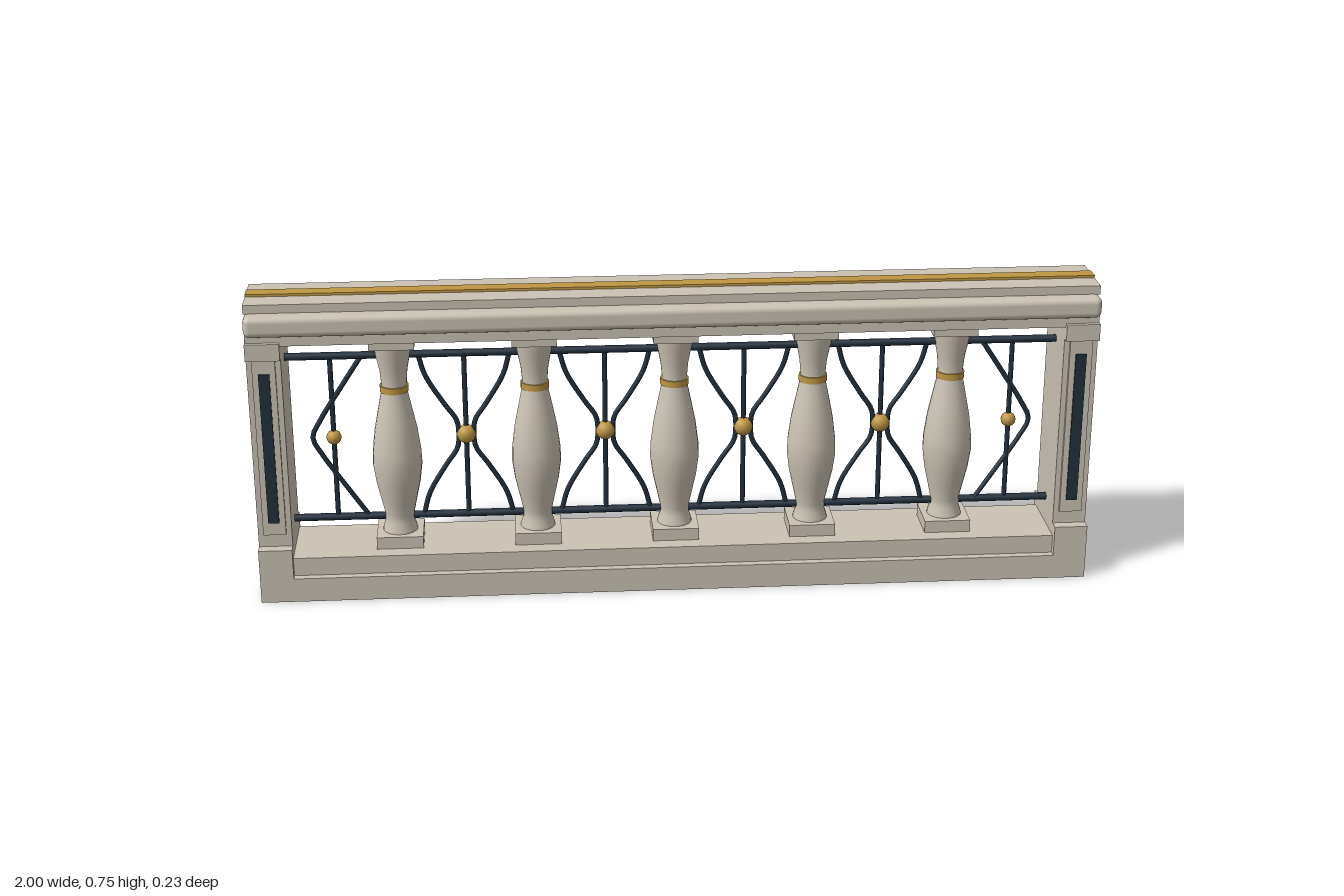
import * as THREE from 'three';
import { RoundedBoxGeometry } from 'three/addons/geometries/RoundedBoxGeometry.js';

export function createModel() {
  const root = new THREE.Group();
  root.name = 'balustrade';
  const stone = new THREE.MeshStandardMaterial({ color: 0xcbc3b5 });
  const iron = new THREE.MeshStandardMaterial({ color: 0x22303d });
  const gold = new THREE.MeshStandardMaterial({ color: 0xbf9743 });
  stone.name = 'stone';
  iron.name = 'darkIron';
  gold.name = 'gold';

  const add = (parent, name, geometry, material, x = 0, y = 0, z = 0) => {
    const mesh = new THREE.Mesh(geometry, material);
    mesh.name = name;
    mesh.position.set(x, y, z);
    parent.add(mesh);
    return mesh;
  };
  // Box given by its centre x, bottom and top heights, width and depth
  const block = (parent, name, material, x, y0, y1, w, d, z = 0) =>
    add(parent, name, new THREE.BoxGeometry(w, y1 - y0, d), material, x, (y0 + y1) / 2, z);
  const group = (name, x = 0) => {
    const g = new THREE.Group();
    g.name = name;
    g.position.x = x;
    root.add(g);
    return g;
  };

  // Base and handrail
  block(root, 'base', stone, 0, 0, 0.06, 2, 0.228);
  block(root, 'baseStep', stone, 0, 0.06, 0.105, 1.84, 0.19);
  block(root, 'underRail', stone, 0, 0.642, 0.67, 1.998, 0.186);
  add(root, 'handrail', new RoundedBoxGeometry(2, 0.051, 0.228, 3, 0.015), stone, 0, 0.693, 0);
  block(root, 'railTop', stone, 0, 0.717, 0.739, 2, 0.16);
  block(root, 'railInlay', gold, 0, 0.739, 0.745, 2, 0.038);

  // End posts with raised panels and dark inlays on both faces
  for (const s of [-1, 1]) {
    const post = group(s > 0 ? 'leftPost' : 'rightPost', s * 0.96);
    block(post, 'postFoot', stone, 0, 0.06, 0.135, 0.08, 0.228);
    block(post, 'postShaft', stone, 0, 0.135, 0.668, 0.08, 0.174);
    block(post, 'postCap', stone, 0, 0.61, 0.651, 0.08, 0.208);
    for (const f of [-1, 1]) {
      block(post, 'postPanel', stone, 0, 0.168, 0.607, 0.054, 0.01, f * 0.09);
      block(post, 'panelInlay', iron, 0, 0.2, 0.575, 0.026, 0.006, f * 0.096);
    }
  }

  // Turned balusters
  const outline = [
    [0.042, 0.133], [0.041, 0.142], [0.035, 0.16], [0.035, 0.178], [0.043, 0.215],
    [0.053, 0.26], [0.059, 0.305], [0.058, 0.34], [0.051, 0.395], [0.041, 0.445],
    [0.032, 0.488], [0.03, 0.51], [0.033, 0.545], [0.041, 0.585], [0.045, 0.613],
  ];
  const turned = new THREE.LatheGeometry(outline.map(([r, y]) => new THREE.Vector2(r, y)), 24);
  const collar = new THREE.CylinderGeometry(0.034, 0.034, 0.016, 24);
  for (let i = -2; i <= 2; i++) {
    const baluster = group('baluster', i / 3);
    block(baluster, 'plinth', stone, 0, 0.105, 0.135, 0.112, 0.112);
    add(baluster, 'turnedBody', turned, stone);
    add(baluster, 'collar', collar, gold, 0, 0.5, 0);
    block(baluster, 'abacus', stone, 0, 0.611, 0.643, 0.106, 0.106);
  }

  // Ironwork: long bars, uprights, bowed rods and gold balls
  const midY = 0.377;
  const longBar = new THREE.CylinderGeometry(0.009, 0.009, 1.84, 10);
  for (const y of [0.17, 0.583])
    add(root, 'longBar', longBar, iron, 0, y, 0).rotation.z = Math.PI / 2;

  const upright = new THREE.CylinderGeometry(0.006, 0.006, 0.413, 8);
  // Half outline (x, height above the middle), mirrored downwards into a rod
  const rod = (half, s) => {
    const points = [...half, ...half.slice(0, -1).reverse().map(([x, y]) => [x, -y])]
      .map(([x, y]) => new THREE.Vector3(s * x, y, 0));
    return new THREE.TubeGeometry(new THREE.CatmullRomCurve3(points), 32, 0.006, 8);
  };
  const bowed = [[0.108, 0.206], [0.092, 0.15], [0.05, 0.078], [0.022, 0.035], [0.018, 0]];
  const pointed = [[-0.075, 0.206], [-0.025, 0.13], [0.03, 0.044], [0.05, 0]];

  for (const x of [-0.5, -1 / 6, 1 / 6, 0.5]) {
    const bay = group('ironBay', x);
    add(bay, 'upright', upright, iron, 0, midY, 0);
    for (const s of [-1, 1]) add(bay, 'bowedRod', rod(bowed, s), iron, 0, midY, 0);
    add(bay, 'ball', new THREE.SphereGeometry(0.023, 16, 12), gold, 0, midY, 0);
  }
  for (const s of [-1, 1]) {
    const bay = group('endBay', s * 0.815);
    add(bay, 'upright', upright, iron, 0, midY, 0);
    add(bay, 'pointedRod', rod(pointed, s), iron, 0, midY, 0);
    add(bay, 'ball', new THREE.SphereGeometry(0.018, 16, 12), gold, 0, midY, 0);
  }
  return root;
}
